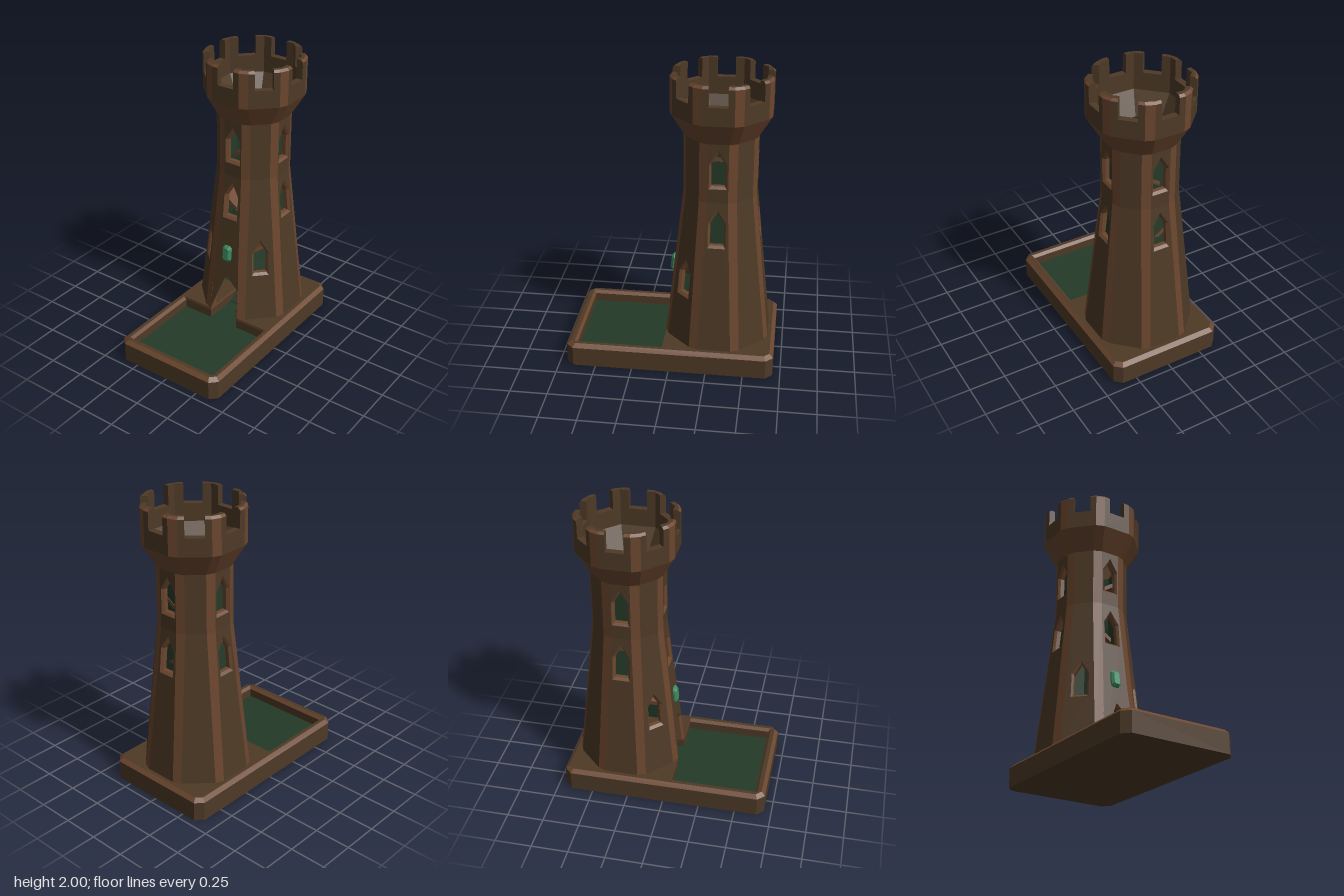
import * as THREE from 'three';
import { mergeGeometries } from 'three/addons/utils/BufferGeometryUtils.js';

const CZ = -0.3;                 // tower axis
const T = Math.tan(Math.PI / 8); // half side of an octagon per unit apothem
const OUT = [[0.16, 0.35], [1.2, 0.24], [1.6, 0.24], [1.75, 0.325], [1.985, 0.325], [2, 0.31]];
const INN = [[0.16, 0.306], [1.2, 0.196], [1.6, 0.196], [1.75, 0.28], [2, 0.28]];

function apothem(prof, y) {
  for (let i = 1; i < prof.length; i++) {
    const [y0, a0] = prof[i - 1], [y1, a1] = prof[i];
    if (y <= y1 || i === prof.length - 1) return a0 + (a1 - a0) * (y - y0) / (y1 - y0);
  }
}
// Point on tower face k (0 = front), u across, y up, d deep into the wall
function place(prof, k, u, y, d = 0) {
  const t = k * Math.PI / 4, a = apothem(prof, y) - d;
  return [Math.sin(t) * a + Math.cos(t) * u, y, Math.cos(t) * a - Math.sin(t) * u + CZ];
}
const edge = y => apothem(OUT, y) * T - 0.033;   // where the corner chamfer starts
const corner = y => apothem(INN, y) * T;

function flat(points) {
  const g = new THREE.BufferGeometry();
  g.setAttribute('position', new THREE.Float32BufferAttribute(points.flat(), 3));
  g.computeVertexNormals();
  return g;
}
// Quads between two rows of points
function strip(a, b, closed = false) {
  const p = [], n = a.length;
  for (let i = 0; i < (closed ? n : n - 1); i++) {
    const j = (i + 1) % n;
    p.push(a[i], a[j], b[j], a[i], b[j], b[i]);
  }
  return flat(p);
}
// Filled 2D outline with holes, each point sent to 3D by map(u, v)
function sheet(pts, holes, map) {
  const vec = l => l.map(p => new THREE.Vector2(...p));
  const shape = new THREE.Shape(vec(pts));
  holes.forEach(h => shape.holes.push(new THREE.Path(vec(h))));
  const g = new THREE.ShapeGeometry(shape).toNonIndexed(), q = g.attributes.position, p = [];
  for (let i = 0; i < q.count; i++) p.push(map(q.getX(i), q.getY(i)));
  return flat(p);
}
const arch = (hw, y0, y1, y2) => [[-hw, y0], [-hw, y1], [0, y2], [hw, y1], [hw, y0]];

export function createModel() {
  const model = new THREE.Group();
  const mat = (name, color) => new THREE.MeshStandardMaterial({ name, color, side: THREE.DoubleSide });
  const wood = mat('darkWood', 0x4e3a26), trim = mat('warmWood', 0x6b462e);
  const felt = mat('greenFelt', 0x243a28), jade = mat('greenGem', 0x3a8a5e);
  const add = (name, geos, material, parent = model) => {
    const m = new THREE.Mesh(Array.isArray(geos) ? mergeGeometries(geos) : geos, material);
    m.name = name;
    parent.add(m);
    return m;
  };

  // Base slab with chamfered corners and bevelled top edge
  const slab = (inset) => {
    const x = 0.4 - inset, z = 0.7 - inset, c = 0.048 - inset * 0.5;
    return [[x, z - c], [x - c, z], [c - x, z], [-x, z - c], [-x, c - z], [c - x, -z], [x - c, -z], [x, c - z]];
  };
  const at = y => ([x, z]) => [x, y, z];
  add('baseSides', [strip(slab(0).map(at(0)), slab(0).map(at(0.135)), true),
    sheet(slab(0), [], (x, z) => [x, 0, z])], wood);
  add('baseBevel', strip(slab(0).map(at(0.135)), slab(0.025).map(at(0.16)), true), trim);

  // Sunken tray that runs on through the doorway
  const tray = (x, z) => [[-x, z], [x, z], [x, 0.048], [0.11, 0.048], [0.11, -0.32],
    [-0.11, -0.32], [-0.11, 0.048], [-x, 0.048]];
  const rim = tray(0.35, 0.648), well = tray(0.333, 0.631);
  add('baseDeck', sheet(slab(0.025), [rim], (x, z) => [x, 0.16, z]), wood);
  add('trayBevel', strip(rim.map(at(0.16)), well.map(at(0.14)), true), trim);
  add('trayWalls', strip(well.map(at(0.14)), well.map(at(0.08)), true), wood);
  add('trayFelt', sheet(well, [], (x, z) => [x, 0.08, z]), felt);

  // Tower walls, face by face
  const tower = new THREE.Group();
  tower.name = 'tower';
  model.add(tower);
  const walls = [], chamfers = [], flare = [], frames = [], lining = [], cup = [], caps = [], notches = [];

  for (let k = 0; k < 8; k++) {
    const o = (u, y) => place(OUT, k, u, y), n = (u, y) => place(INN, k, u, y);
    const low = [], high = [], lowIn = [], highIn = [];

    // Pointed openings with bevelled reveals
    const reveal = (big, small, closed) => {
      const mid = small.map(([u, y]) => place(OUT, k, u, y, 0.015));
      frames.push(strip(big.map(p => o(...p)), mid, closed), strip(mid, small.map(p => n(...p)), closed));
    };
    const windowAt = (y, cuts, inCuts, open) => {
      const big = arch(0.058, y, y + 0.17, y + 0.265), small = arch(0.045, y + 0.016, y + 0.165, y + 0.242);
      reveal(big, small, true);
      cuts.push(big);
      if (open) inCuts.push(small);
    };
    if (k % 2 === 0) {
      windowAt(0.89, low, lowIn, k === 0);
      windowAt(1.295, high, highIn, k === 0);
    }
    if (k === 1 || k === 7) windowAt(0.495, low, lowIn, true);

    let door = [], doorIn = [];
    if (k === 0) {
      door = arch(0.11, 0.16, 0.37, 0.465);
      doorIn = arch(0.095, 0.16, 0.365, 0.445);
      reveal(door, doorIn, false);
    }
    const panel = (y0, y1, w, cut = []) => [[-w(y0), y0], ...cut, [w(y0), y0], [w(y1), y1], [-w(y1), y1]];
    walls.push(sheet(panel(0.16, 1.2, edge, door), low, o), sheet(panel(1.2, 1.6, edge), high, o));
    lining.push(sheet(panel(0.16, 1.2, corner, doorIn), lowIn, n), sheet(panel(1.2, 1.6, corner), highIn, n));
    flare.push(sheet(panel(1.6, 1.75, edge), [], o));
    cup.push(sheet(panel(1.6, 1.75, corner), [], n));

    // Battlement face with its gap
    const battlement = (w, top) => [[-w, 1.75], [w, 1.75], [w, top], [0.06, top],
      [0.06, 1.87], [-0.06, 1.87], [-0.06, top], [-w, top]];
    walls.push(sheet(battlement(edge(1.8), 1.985), [], o));
    cup.push(sheet(battlement(corner(1.8), 2), [], n));
    const gap = [[-0.06, 2], [-0.06, 1.985], [-0.06, 1.87], [0.06, 1.87], [0.06, 1.985], [0.06, 2]];
    notches.push(strip(gap.map(p => o(...p)), gap.map(p => n(...p))));

    // Chamfered corner to the next face, and the merlon top above it
    const next = k + 1;
    const pair = y => [place(OUT, k, edge(y), y), place(OUT, next, -edge(y), y)];
    const rows = [0.16, 1.2, 1.6, 1.75, 1.985].map(pair);
    rows.slice(1).forEach((r, i) => chamfers.push(strip(rows[i], r)));
    const ring = y => [o(0.06, y), ...pair(y), place(OUT, next, -0.06, y)];
    const c = n(corner(2), 2);
    chamfers.push(strip(ring(1.985), ring(2)));
    caps.push(strip(ring(2), [n(0.06, 2), c, c, place(INN, next, -0.06, 2)]));
  }
  add('towerWalls', walls, wood, tower);
  add('cornerChamfers', chamfers, trim, tower);
  add('flaredCollar', flare, trim, tower);
  add('openingFrames', frames, trim, tower);
  add('innerLining', lining, felt, tower);
  add('topFunnel', cup, wood, tower);
  add('merlonTops', caps, wood, tower);
  add('battlementGaps', notches, wood, tower);

  // Sloping plates inside, cut to the octagon and rising along their own +x
  const slope = (name, a, x0, y0, turn, material) => {
    const t = a * T, s = new THREE.Shape([[x0, -a], [t, -a], [a, -t], [a, t], [t, a], [x0, a]]
      .map(p => new THREE.Vector2(...p)));
    const g = new THREE.ExtrudeGeometry(s, { depth: 0.03, bevelEnabled: false });
    g.rotateX(-Math.PI / 2);
    const p = g.attributes.position;
    for (let i = 0; i < p.count; i++) p.setY(i, p.getY(i) + y0 + (p.getX(i) - x0) * 0.66);
    g.computeVertexNormals();
    const m = add(name, g, material);
    m.position.z = CZ;
    m.rotation.y = turn;
  };
  slope('upperBaffle', 0.2, -0.02, 1.325, 0, trim);
  slope('middleBaffle', 0.222, -0.02, 0.935, Math.PI, trim);
  slope('lowerBaffle', 0.26, -0.02, 0.53, 0, trim);
  slope('exitRamp', 0.285, -0.11, 0.055, Math.PI / 2, felt);

  // Faceted gem above the door
  const gemRing = (w, h, z) => {
    const c = w * 0.45;
    return [[w, h - c], [w - c, h], [c - w, h], [-w, h - c], [-w, c - h], [c - w, -h], [w - c, -h], [w, c - h]]
      .map(([x, y]) => [x, y, z]);
  };
  const back = gemRing(0.034, 0.058, -0.01), girdle = gemRing(0.034, 0.058, 0.012), table = gemRing(0.02, 0.042, 0.027);
  const gem = add('gem', [strip(back, girdle, true), strip(girdle, table, true),
    sheet(table.map(p => p.slice(0, 2)), [], (x, y) => [x, y, 0.027])], jade);
  gem.position.set(0, 0.635, CZ + apothem(OUT, 0.635));
  gem.rotation.x = -0.105;

  return model;
}
